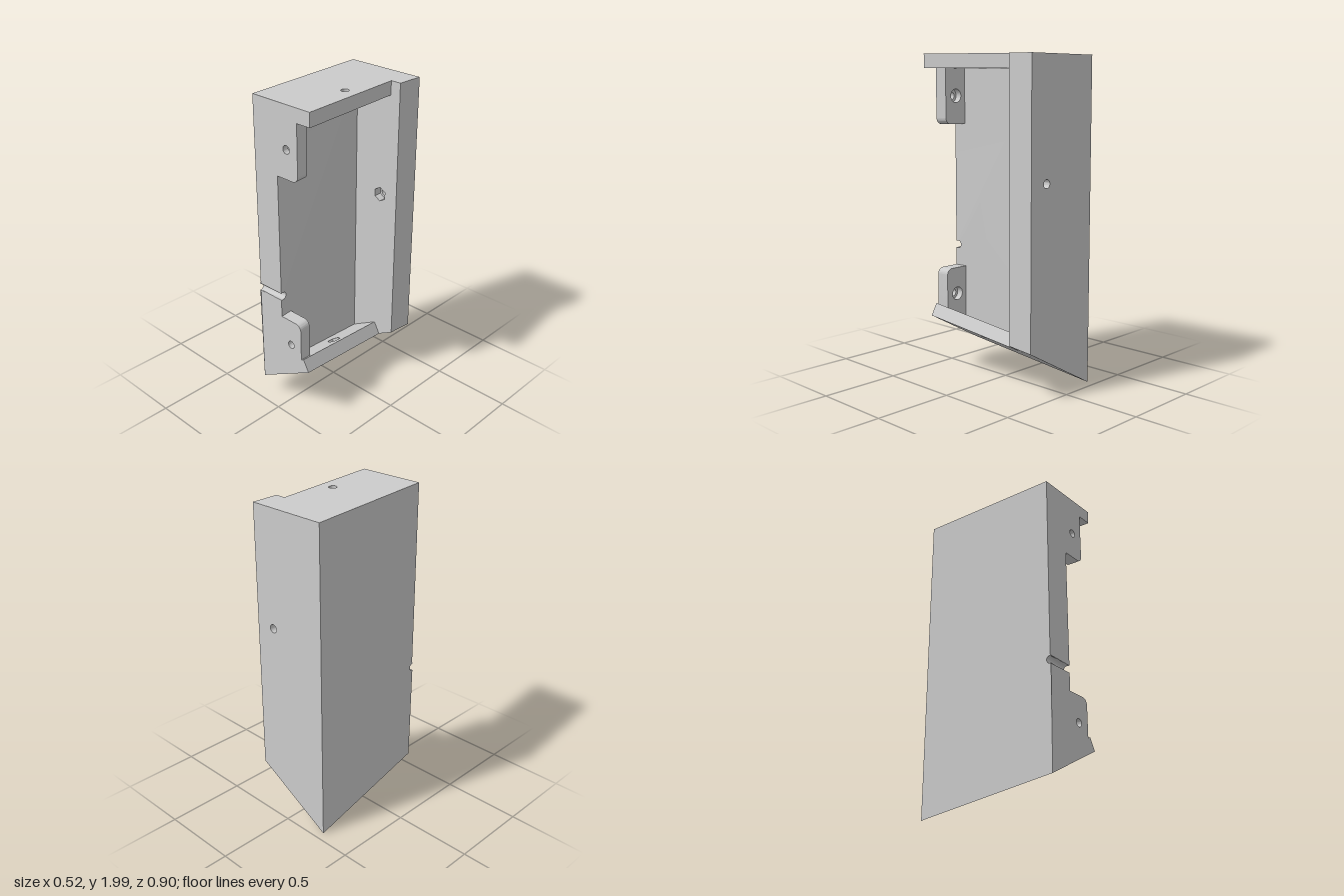
import * as THREE from 'three';
import { toCreasedNormals } from 'three/addons/utils/BufferGeometryUtils.js';

const FRONT = 0.445, INNER = -0.275, BACK = -0.447;
const LEAN = 0.093;                                    // sideways lean of the body along z
const WALL = 0.18, PLATE = 0.085;
const lean = (z) => LEAN * (z - FRONT);
const topY = (z) => 2 + 0.017 * (z - FRONT);
const bottomY = (x, z) => 0.191 + 0.557 * x + 0.0883 * z;

const material = new THREE.MeshStandardMaterial({ color: 0xcccccc });

function outline(points) {
  return new THREE.Shape(points.map(([x, y]) => new THREE.Vector2(x, y)));
}

// Polygonal hole; six sides for nut pockets, many for bores
function hole(x, y, r, sides) {
  const pts = [];
  for (let i = 0; i < sides; i++) {
    const a = Math.PI / 2 - (i / sides) * Math.PI * 2;
    pts.push(new THREE.Vector2(x + r * Math.cos(a), y + r * Math.sin(a)));
  }
  return new THREE.Path(pts);
}

// Extrudes a shape from depth a to b, then moves each vertex by a rule
function slab(shape, a, b, rule) {
  const geo = new THREE.ExtrudeGeometry(shape, { depth: b - a, bevelEnabled: false, curveSegments: 16 });
  const p = geo.attributes.position;
  for (let i = 0; i < p.count; i++) {
    p.setXYZ(i, ...rule(p.getX(i), p.getY(i), p.getZ(i) + a));
  }
  return new THREE.Mesh(toCreasedNormals(geo, 0.6), material);
}

// A slab in two layers, so a hole can change size partway through
function drilled(name, makeShape, [x, y], layers, rule) {
  const group = new THREE.Group();
  group.name = name;
  for (const { a, b, r, sides } of layers) {
    const shape = makeShape();
    shape.holes.push(hole(x, y, r, sides));
    const mesh = slab(shape, a, b, rule);
    mesh.name = sides === 6 ? name + 'NutLayer' : name + 'BoreLayer';
    group.add(mesh);
  }
  return group;
}

export function createModel() {
  const model = new THREE.Group();
  model.name = 'bracketHousing';

  // Back wall with a bolt hole and a nut pocket on its inner side
  model.add(drilled('backWall',
    () => outline([[-0.18, 0], [0.257, 0], [0.257, 2], [-0.18, 2]]),
    [0.128, 1.26],
    [{ a: BACK, b: -0.325, r: 0.026, sides: 28 }, { a: -0.325, b: INNER, r: 0.045, sides: 6 }],
    (x, y, z) => {
      const px = x < -0.1 ? x + lean(z) : x;
      return [px, y > 1.9 ? topY(z) : y < 0.4 ? bottomY(px, z) : y, z];
    }));

  // Leaning side wall with a round cable groove across its front edge
  const side = new THREE.Shape();
  side.moveTo(-FRONT, 0);
  side.lineTo(-INNER, 0);
  side.lineTo(-INNER, 2);
  side.lineTo(-FRONT, 2);
  side.absarc(-FRONT + 0.008, 0.79, 0.024, 1.91, -1.91, true);
  side.closePath();
  const sideWall = slab(side, 0, WALL, (a, y, d) => {
    let z = -a;
    const x = d - WALL + lean(z);
    if (y > 0.7 && y < 0.9 && z < FRONT - 0.002) z -= LEAN * (d - WALL / 2);
    return [x, y > 1.9 ? topY(z) : y < 0.4 ? bottomY(x, z) : y, z];
  });
  sideWall.name = 'sideWall';
  model.add(sideWall);

  // Top plate, nut pocket underneath
  model.add(drilled('topPlate',
    () => outline([[0, -FRONT], [0.257, -FRONT], [0.257, -INNER], [0, -INNER]]),
    [0.167, -0.045],
    [{ a: 0, b: 0.045, r: 0.045, sides: 6 }, { a: 0.045, b: PLATE, r: 0.025, sides: 28 }],
    (x, s, d) => [x + lean(-s), topY(-s) - PLATE + d, -s]));

  // Sloping bottom plate, nut pocket on its upper side
  const slope = Math.atan(0.557), c = Math.cos(slope), n = Math.sin(slope);
  model.add(drilled('bottomPlate',
    () => outline([[0, -FRONT], [0.252, -FRONT], [0.252, -INNER], [0, -INNER]]),
    [0.169, -0.07],
    [{ a: 0, b: 0.04, r: 0.025, sides: 28 }, { a: 0.04, b: PLATE, r: 0.045, sides: 6 }],
    (u, s, d) => [
      u * c - d * n + lean(-s),
      0.23 + u * n + d * c + 0.14 * (-s - FRONT),
      -s,
    ]));

  // Front mounting tabs with one rounded corner and a counterbored hole
  const upperTab = () => {
    const t = new THREE.Shape();
    t.moveTo(0, 1.93);
    t.lineTo(0, 1.57);
    t.lineTo(0.12, 1.57);
    t.absarc(0.12, 1.61, 0.04, -Math.PI / 2, 0, false);
    t.lineTo(0.16, 1.93);
    return t;
  };
  const lowerTab = () => {
    const t = new THREE.Shape();
    t.moveTo(0, 0.31);
    t.lineTo(0.16, 0.4);
    t.lineTo(0.16, 0.615);
    t.absarc(0.12, 0.615, 0.04, 0, Math.PI / 2, false);
    t.lineTo(0, 0.655);
    return t;
  };
  for (const [name, shape, y] of [['upperTab', upperTab, 1.745], ['lowerTab', lowerTab, 0.485]]) {
    model.add(drilled(name, shape, [0.075, y],
      [{ a: 0.365, b: 0.405, r: 0.042, sides: 32 }, { a: 0.405, b: FRONT, r: 0.025, sides: 28 }],
      (x, py, z) => [x + lean(z), py, z]));
  }

  return model;
}
